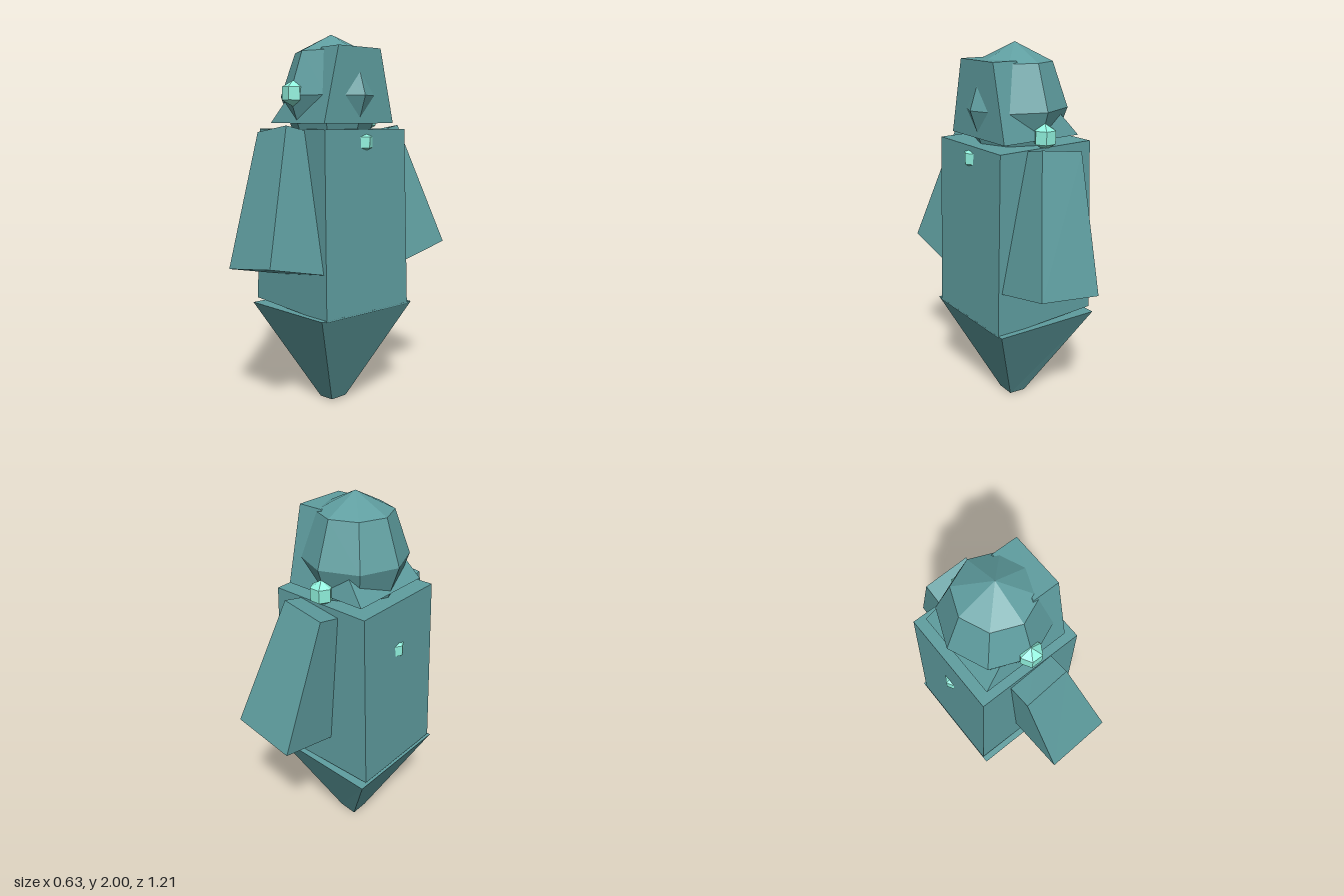
import * as THREE from 'three';

const skin = new THREE.MeshStandardMaterial({ color: 0x5f9ea0, flatShading: true });
const crystal = new THREE.MeshStandardMaterial({ color: 0x8ff0dc, flatShading: true });

// Six-sided block: place(sx, sy, sz) returns each corner from its signs
function block(name, place) {
  const geometry = new THREE.BoxGeometry(2, 2, 2).toNonIndexed();
  const p = geometry.attributes.position;
  for (let i = 0; i < p.count; i++) p.setXYZ(i, ...place(p.getX(i), p.getY(i), p.getZ(i)));
  geometry.computeVertexNormals();
  const mesh = new THREE.Mesh(geometry, skin);
  mesh.name = name;
  return mesh;
}

// Low-poly gem, partly sunk into the surface
function gem(name, radius, x, y, z) {
  const mesh = new THREE.Mesh(new THREE.SphereGeometry(radius, 6, 3), crystal);
  mesh.name = name;
  mesh.position.set(x, y, z);
  return mesh;
}

// Arm sloping outward; side is +1 for +z, -1 for -z
function arm(name, side) {
  return block(name, (sx, sy, sz) => {
    const outer = sz * side > 0;
    const front = sx > 0;
    if (sy > 0) {
      const y = front ? 1.53 : 1.495;
      return [0.12 * sx, outer ? y : y - 0.045, side * (outer ? (front ? 0.38 : 0.39) : 0.18)];
    }
    const y = front ? 0.87 : 0.815;
    return [front ? 0.285 : -0.067, outer ? y : y - 0.095, side * (outer ? (front ? 0.597 : 0.607) : 0.18)];
  });
}

export function createModel() {
  const group = new THREE.Group();
  group.name = 'figure';

  // Body, narrowing slightly upward
  group.add(block('body', (sx, sy, sz) =>
    sy > 0 ? [0.283 * sx, 1.51, 0.27 * sz] : [0.313 * sx, 0.56, 0.282 * sz]));

  // Tail, a slightly tilted taper below the body
  group.add(block('tail', (sx, sy, sz) =>
    sy > 0 ? [0.313 * sx, 0.553 + 0.016 * sx, 0.313 * sz]
      : [0.018 + 0.05 * sx, 0.006 + 0.006 * sx, 0.05 * sz]));

  // Faceted head
  const head = new THREE.Mesh(new THREE.SphereGeometry(0.272, 8, 4), skin);
  head.name = 'head';
  head.scale.y = 0.32 / 0.272;
  head.position.y = 1.68;
  group.add(head);

  // Wedge-shaped face with an upright +x side
  group.add(block('face', (sx, sy, sz) =>
    sy > 0 ? [sx > 0 ? 0.23 : 0.095, 1.92, 0.14 * sz] : [0.233 * sx, 1.54, 0.233 * sz]));

  group.add(arm('leftArm', 1), arm('rightArm', -1));

  // Gems on head and body
  group.add(
    gem('headFrontGem', 0.066, 0, 1.69, 0.25),
    gem('headBackGem', 0.066, 0, 1.56, -0.25),
    gem('bodyLeftGem', 0.055, 0.26, 1.445, 0),
    gem('bodyRightGem', 0.055, -0.263, 1.245, 0)
  );
  return group;
}
